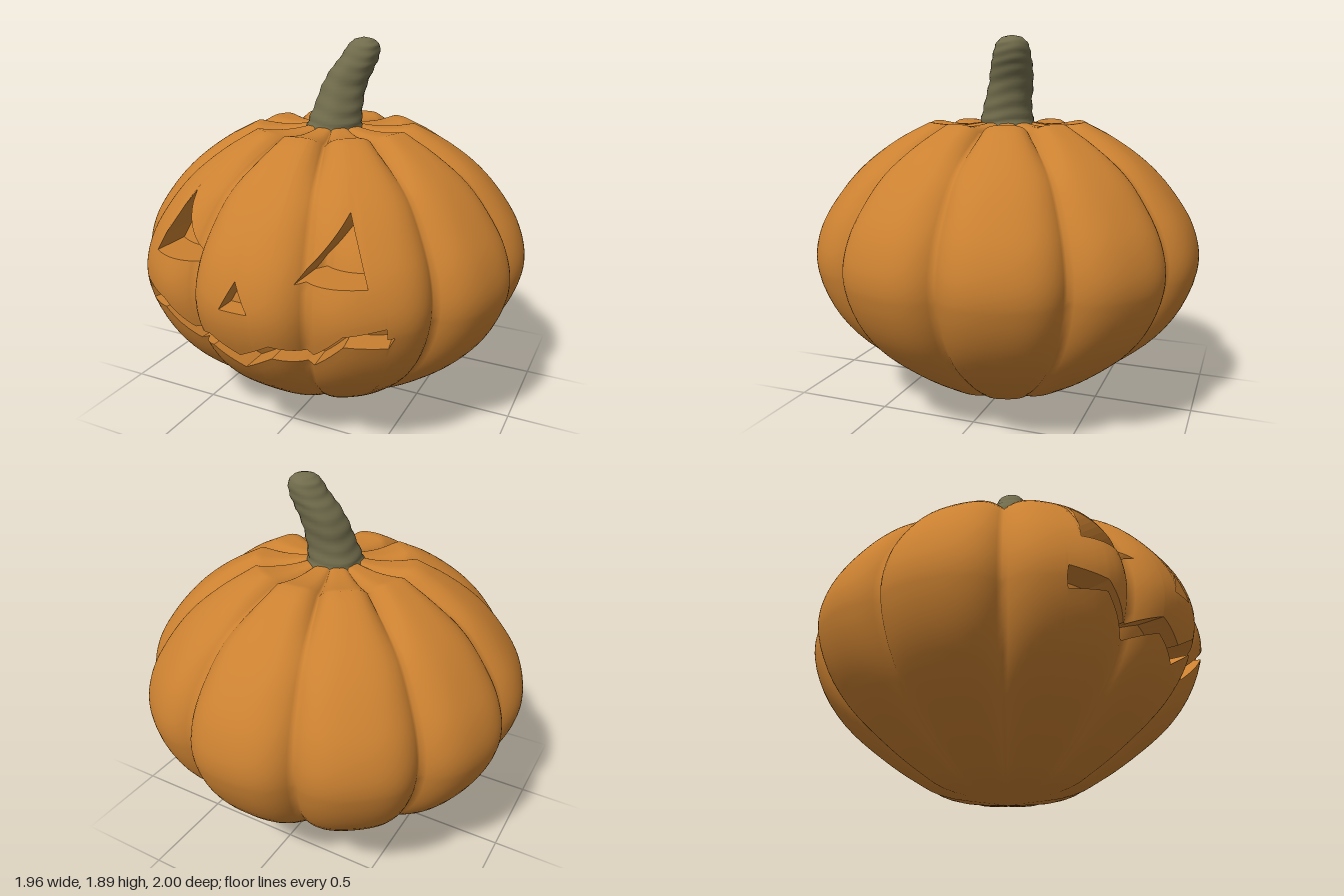
import * as THREE from 'three';
import { mergeVertices } from 'three/addons/utils/BufferGeometryUtils.js';

const RAD = Math.PI / 180;
const TOP = 1.46;

// lobe radius by height: [y, radius]
const PROFILE = [[0, 0], [0.05, 0.3], [0.12, 0.45], [0.24, 0.63], [0.4, 0.82], [0.57, 0.94], [0.77, 1],
  [0.95, 0.965], [1.12, 0.86], [1.26, 0.73], [1.38, 0.565], [TOP, 0.41]];

// smooth interpolation through the profile points
function radiusAt(y) {
  const p = PROFILE, n = p.length - 1;
  let i = 0;
  while (i < n - 1 && y > p[i + 1][0]) i++;
  const slope = (k) => {
    const a = p[Math.max(k - 1, 0)], b = p[Math.min(k + 1, n)];
    return (b[1] - a[1]) / (b[0] - a[0]);
  };
  const h = p[i + 1][0] - p[i][0], t = (y - p[i][0]) / h, t2 = t * t, t3 = t2 * t;
  return (2 * t3 - 3 * t2 + 1) * p[i][1] + (t3 - 2 * t2 + t) * h * slope(i)
    + (3 * t2 - 2 * t3) * p[i + 1][1] + (t3 - t2) * h * slope(i + 1);
}

// 0 on the crest of a lobe, 1 in the groove between two of the ten lobes
function groove(a) {
  const k = a / (36 * RAD);
  return Math.pow(Math.abs(2 * (k - Math.round(k))), 3.5);
}

const sideRadius = (a, y) => radiusAt(y) * (1 - 0.09 * groove(a));

// point on the skin; y above TOP runs inward over the crown
function skin(a, y) {
  const g = groove(a), c = Math.max(0, y - TOP);
  const r = sideRadius(a, Math.min(y, TOP)) * (1 - c);
  let h = Math.min(y, TOP);
  if (c > 0) h -= 0.015 * Math.sin(Math.PI * Math.min(1, c * 1.4)) + 0.05 * g * Math.max(0, 1 - c * 1.3);
  else h -= 0.05 * g * THREE.MathUtils.smoothstep(y, 1.2, TOP);
  return new THREE.Vector3(r * Math.sin(a), h, r * Math.cos(a));
}

// turns front positions (x, y) into a mirrored list of [angle, y]
function faceLine(half) {
  const right = half.map(([x, y]) => {
    let a = 0;
    for (let i = 0; i < 40; i++) a = 0.5 * a + 0.5 * Math.asin(x / sideRadius(a, y));
    return [a, y];
  });
  const left = right.filter((p) => p[0] > 1e-6).map(([a, y]) => [-a, y]).reverse();
  return [...left, ...right];
}

function lineAt(line, a) {
  if (a <= line[0][0]) return line[0][1];
  for (let i = 1; i < line.length; i++) {
    if (a <= line[i][0]) {
      const [p, q] = [line[i - 1], line[i]];
      return p[1] + (q[1] - p[1]) * (a - p[0]) / (q[0] - p[0]);
    }
  }
  return line[line.length - 1][1];
}

// carved outlines, right half only
const mouthLow = faceLine([[0, 0.51], [0.15, 0.6], [0.3, 0.55], [0.46, 0.695], [0.62, 0.675], [0.621, 0.725]]);
const mouthHigh = faceLine([[0, 0.59], [0.15, 0.67], [0.31, 0.615], [0.46, 0.745], [0.62, 0.775], [0.621, 0.725]]);
const upperLow = faceLine([[0, 0.815], [0.07, 0.815], [0.24, 0.945], [0.54, 0.945]]);
const upperHigh = faceLine([[0, 0.945], [0.07, 0.815], [0.24, 0.945], [0.395, 1.22], [0.54, 0.945]]);

// angles of all columns, with one on every corner of the carving
function columnAngles() {
  const marks = [mouthLow, mouthHigh, upperLow, upperHigh].flat().map((p) => p[0]);
  const cols = [...marks];
  for (let d = -180; d <= 180; d += 1.5) {
    if (marks.every((m) => Math.abs(m - d * RAD) > 0.3 * RAD)) cols.push(d * RAD);
  }
  cols.sort((p, q) => p - q);
  return cols.filter((a, i) => i === 0 || a - cols[i - 1] > 1e-7);
}

// adds two triangles, leaving out flat ones
function quad(out, a, b, c, d) {
  for (const [p, q, r] of [[a, b, c], [a, c, d]]) {
    if (new THREE.Triangle(p, q, r).getArea() > 1e-10) out.push(p, q, r);
  }
}

function toMesh(name, points, material, smooth) {
  let g = new THREE.BufferGeometry().setFromPoints(points);
  if (smooth) g = mergeVertices(g, 1e-5);
  g.computeVertexNormals();
  const mesh = new THREE.Mesh(g, material);
  mesh.name = name;
  return mesh;
}

// sheet between two heights that vary with the angle
function sheet(out, cols, low, high, rows, ease, place, keep = () => true) {
  for (let i = 0; i < cols.length - 1; i++) {
    const a = cols[i], b = cols[i + 1];
    if (!keep(a, b)) continue;
    const at = (ang, k) => place(ang, low(ang) + (high(ang) - low(ang)) * Math.pow(k / rows, ease));
    for (let k = 0; k < rows; k++) quad(out, at(a, k), at(b, k), at(b, k + 1), at(a, k + 1));
  }
}

// walls and back of one carved band
function carving(name, cols, lowLine, highLine, depth, taper, material) {
  const low = (a) => lineAt(lowLine, a), high = (a) => lineAt(highLine, a);
  const open = (a, b) => Math.max(high(a) - low(a), high(b) - low(b)) > 1e-6;
  const back = (a, y) => {
    const p = skin(a, y);
    p.x *= taper;
    p.z -= depth(a);
    return p;
  };
  const walls = [], floor = [];
  for (let i = 0; i < cols.length - 1; i++) {
    const a = cols[i], b = cols[i + 1];
    if (!open(a, b)) continue;
    quad(walls, skin(a, low(a)), skin(b, low(b)), back(b, low(b)), back(a, low(a)));
    quad(walls, skin(b, high(b)), skin(a, high(a)), back(a, high(a)), back(b, high(b)));
  }
  sheet(floor, cols, low, high, 6, 1, back, open);
  const group = new THREE.Group();
  group.name = name;
  group.add(toMesh(name + 'Walls', walls, material, false), toMesh(name + 'Back', floor, material, true));
  return group;
}

// bent, wrinkled stem from rings: [x, y, z, radius]
function makeStem(material) {
  const rings = [[0, 1.43, 0, 0.148], [0.005, 1.48, 0, 0.136], [0.022, 1.56, -0.01, 0.122], [0.04, 1.65, -0.03, 0.114],
    [0.075, 1.73, -0.045, 0.108], [0.108, 1.79, -0.058, 0.097], [0.125, 1.845, -0.066, 0.082],
    [0.128, 1.878, -0.068, 0.05], [0.128, 1.89, -0.068, 0]];
  const path = new THREE.CatmullRomCurve3(rings.map((r) => new THREE.Vector3(r[0], r[1], r[2])));
  const width = new THREE.CatmullRomCurve3(rings.map((r) => new THREE.Vector3(r[3], 0, 0)));
  const rows = 40, sides = 28, out = [];
  const at = (k, s) => {
    const t = k / rows, a = (s % sides) / sides * Math.PI * 2;
    const wrinkle = 1 + 0.025 * Math.sin(t * 58 + 1.5 * Math.sin(a * 2)) + 0.025 * Math.sin(a * 5 + t * 5);
    const r = k === rows ? 0 : Math.max(0, width.getPoint(t).x) * wrinkle;
    return path.getPoint(t).add(new THREE.Vector3(r * Math.sin(a), 0, r * Math.cos(a)));
  };
  for (let k = 0; k < rows; k++) {
    for (let s = 0; s < sides; s++) quad(out, at(k, s), at(k, s + 1), at(k + 1, s + 1), at(k + 1, s));
  }
  return toMesh('stem', out, material, true);
}

export function createModel() {
  const orange = new THREE.MeshStandardMaterial({ color: 0xcb8131 });
  orange.name = 'pumpkin orange';
  const green = new THREE.MeshStandardMaterial({ color: 0x716c4c });
  green.name = 'stem grey green';

  const model = new THREE.Group();
  model.name = 'carvedPumpkin';
  const cols = columnAngles();
  const line = (l) => (a) => lineAt(l, a);

  // ribbed skin in bands below, between and above the carved openings, then the crown
  const body = [];
  sheet(body, cols, () => 0, line(mouthLow), 24, 2, skin);
  sheet(body, cols, line(mouthHigh), line(upperLow), 8, 1, skin);
  sheet(body, cols, line(upperHigh), () => TOP, 16, 1, skin);
  sheet(body, cols, () => TOP, () => TOP + 1, 10, 1, skin);
  model.add(toMesh('skin', body, orange, true));

  // recessed face
  model.add(carving('mouth', cols, mouthLow, mouthHigh, () => 0.13, 0.95, orange));
  model.add(carving('eyesAndNose', cols, upperLow, upperHigh, (a) => (Math.abs(a) < 9 * RAD ? 0.1 : 0.2), 1, orange));

  model.add(makeStem(green));
  return model;
}
